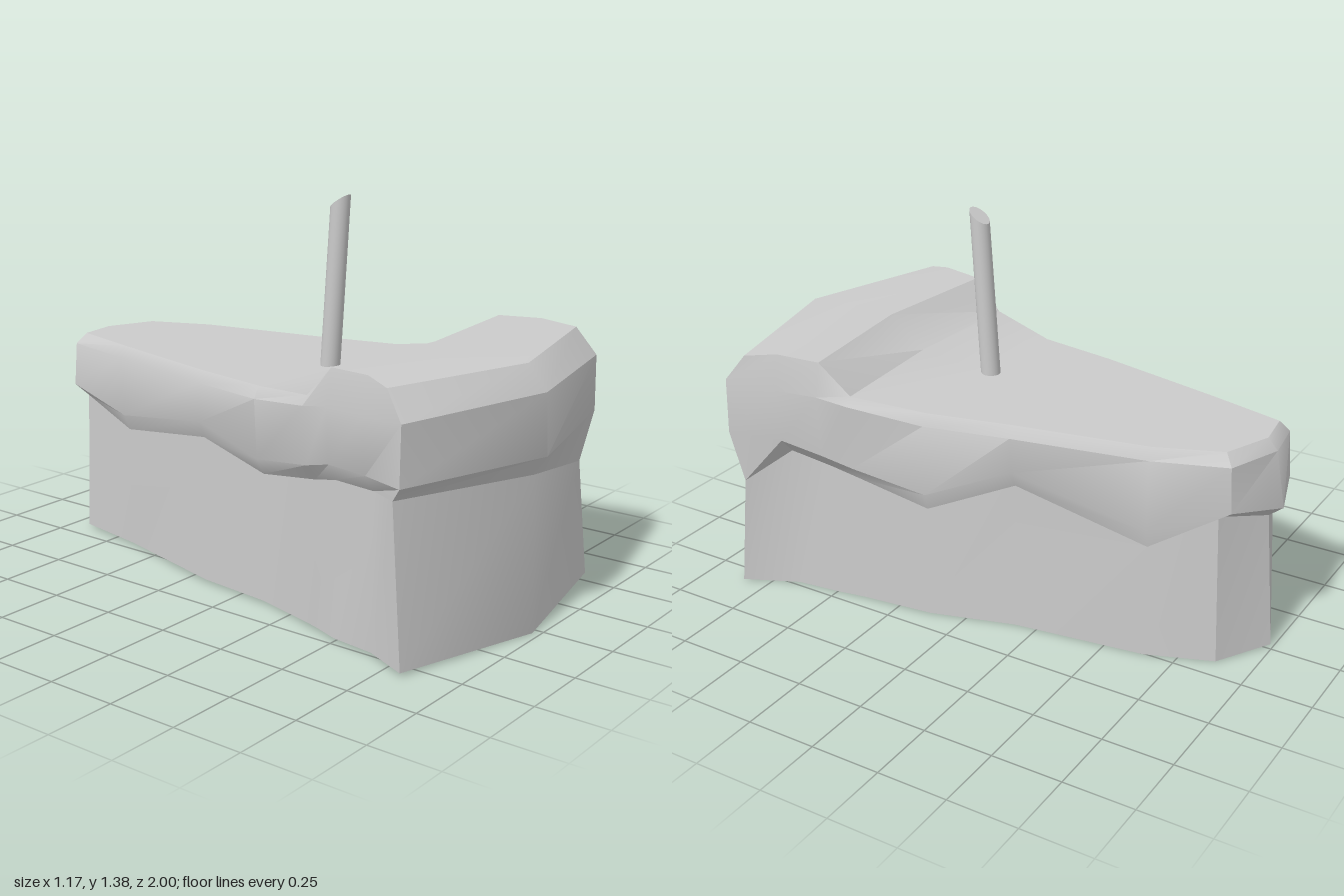
import * as THREE from 'three';
import { toCreasedNormals } from 'three/addons/utils/BufferGeometryUtils.js';

// Stations from the narrow tip to the wide front.
// zL/zR, icing half widths xL/xR, body half widths bL/bR, icing top and
// shoulder heights, drip heights dL/dR, forward bow of the centre line.
const keys = ['zL', 'zR', 'xL', 'xR', 'bL', 'bR', 'top', 'sh', 'dL', 'dR', 'bow'];
const stations = [
  [-0.95, -0.90, 0.19, 0.18, 0.17, 0.167, 0.78, 0.74, 0.54, 0.55, 0],
  [-0.64, -0.64, 0.26, 0.27, 0.22, 0.255, 0.78, 0.74, 0.46, 0.42, 0],
  [-0.17, -0.17, 0.37, 0.36, 0.34, 0.32, 0.78, 0.74, 0.54, 0.55, 0],
  [0.12, 0.13, 0.42, 0.43, 0.37, 0.41, 0.78, 0.74, 0.47, 0.42, 0.01],
  [0.39, 0.39, 0.51, 0.505, 0.44, 0.44, 0.81, 0.78, 0.52, 0.48, 0.03],
  [0.50, 0.50, 0.53, 0.53, 0.48, 0.46, 0.92, 0.80, 0.55, 0.51, 0.06],
  [0.66, 0.66, 0.56, 0.555, 0.50, 0.48, 0.925, 0.80, 0.55, 0.54, 0.10],
  [0.82, 0.85, 0.59, 0.585, 0.572, 0.57, 0.905, 0.81, 0.56, 0.42, 0.14],
].map((row) => Object.fromEntries(row.map((v, i) => [keys[i], v])));
const last = stations.length - 1;

// A closed ring: tip centre, left side, front centre, right side back to the tip.
function ring(tip, front, side) {
  const left = stations.map((s, i) => side(-1, s.zL, s.xL, s.bL, s.dL, s, i));
  const right = stations.map((s, i) => side(1, s.zR, s.xR, s.bR, s.dR, s, i));
  return [tip, ...left, front, ...right.reverse()];
}

// Skin stacked rings, optionally closing the bottom and top with strips.
function loft(rings, capBottom, capTop, crease) {
  const pos = [];
  const tri = (a, b, c) => pos.push(...a, ...b, ...c);
  const quad = (a, b, c, d) => { tri(a, b, c); tri(a, c, d); };
  for (let r = 0; r < rings.length - 1; r++) {
    const lo = rings[r], hi = rings[r + 1], n = lo.length;
    for (let i = 0; i < n; i++) {
      const j = (i + 1) % n;
      quad(lo[i], lo[j], hi[j], hi[i]);
    }
  }
  const cap = (pts, up) => {
    const face = up ? tri : (a, b, c) => tri(a, c, b);
    const L = (i) => pts[1 + i], R = (i) => pts[pts.length - 1 - i];
    const tip = pts[0], front = pts[last + 2];
    const C = stations.map((s, i) => [
      (L(i)[0] + R(i)[0]) / 2, (L(i)[1] + R(i)[1]) / 2, (L(i)[2] + R(i)[2]) / 2 + s.bow * 0.9]);
    face(tip, L(0), C[0]);
    face(tip, C[0], R(0));
    for (let i = 0; i < last; i++) {
      face(L(i), L(i + 1), C[i + 1]);
      face(L(i), C[i + 1], C[i]);
      face(C[i], C[i + 1], R(i + 1));
      face(C[i], R(i + 1), R(i));
    }
    face(L(last), front, C[last]);
    face(C[last], front, R(last));
  };
  if (capBottom) cap(rings[0], false);
  if (capTop) cap(rings[rings.length - 1], true);
  const g = new THREE.BufferGeometry();
  g.setAttribute('position', new THREE.Float32BufferAttribute(pos, 3));
  return toCreasedNormals(g, crease);
}

export function createModel() {
  const group = new THREE.Group();
  const material = new THREE.MeshStandardMaterial({ color: 0xcccccc, side: THREE.DoubleSide });
  const add = (name, geometry) => {
    const mesh = new THREE.Mesh(geometry, material);
    mesh.name = name;
    group.add(mesh);
  };

  // Cake body: wavy wedge from the floor up to the drip line
  const base = ring([-0.02, 0.01, -0.99], [-0.03, 0.005, 0.975],
    (k, z, x, b, d, s, i) => [k * b, k < 0 ? 0.015 : 0.004, i === 0 ? z + 0.03 : z]);
  const drip = ring([-0.02, 0.5, -0.95], [-0.03, 0.545, 0.96],
    (k, z, x, b, d, s, i) => [k * b * 0.99, d, i === 0 ? z + 0.05 : i === last ? z - 0.04 : z]);
  add('cakeBody', loft([base, drip], true, false, 0.6));

  // Icing: drip edge, outward lip, shoulder, inset top with a raised front roll
  const lip = ring([-0.02, 0.54, -1.0], [-0.02, 0.61, 1.0],
    (k, z, x, b, d, s, i) => [k * (i > 0 && i < last ? (x * 2 + b) / 3 : x),
      i === last ? 0.61 : i === 0 ? 0.58 : d + 0.06, z]);
  const shoulder = ring([-0.02, 0.74, -0.965], [-0.02, 0.82, 0.99],
    (k, z, x, b, d, s, i) => [k * (x - 0.005), s.sh, i === 0 ? z + 0.01 : z]);
  const top = ring([-0.02, 0.78, -0.93], [-0.02, 0.905, 0.92],
    (k, z, x, b, d, s, i) => [k * (x - 0.03), s.top,
      i === 0 ? z + 0.04 : i === last ? z - 0.07 : z]);
  add('icing', loft([drip, lip, shoulder, top], false, true, 0.6));

  // Candle: leaning stick with its top cut at a slant
  const stick = new THREE.CylinderGeometry(0.035, 0.035, 1, 20);
  const p = stick.attributes.position;
  for (let i = 0; i < p.count; i++) {
    const upper = p.getY(i) > 0, z = p.getZ(i);
    p.setXYZ(i, p.getX(i) - 0.012, upper ? 1.355 + z * 0.7 : 0.74, z + (upper ? 0.173 : 0.13));
  }
  add('candle', toCreasedNormals(stick, 0.7));

  return group;
}
